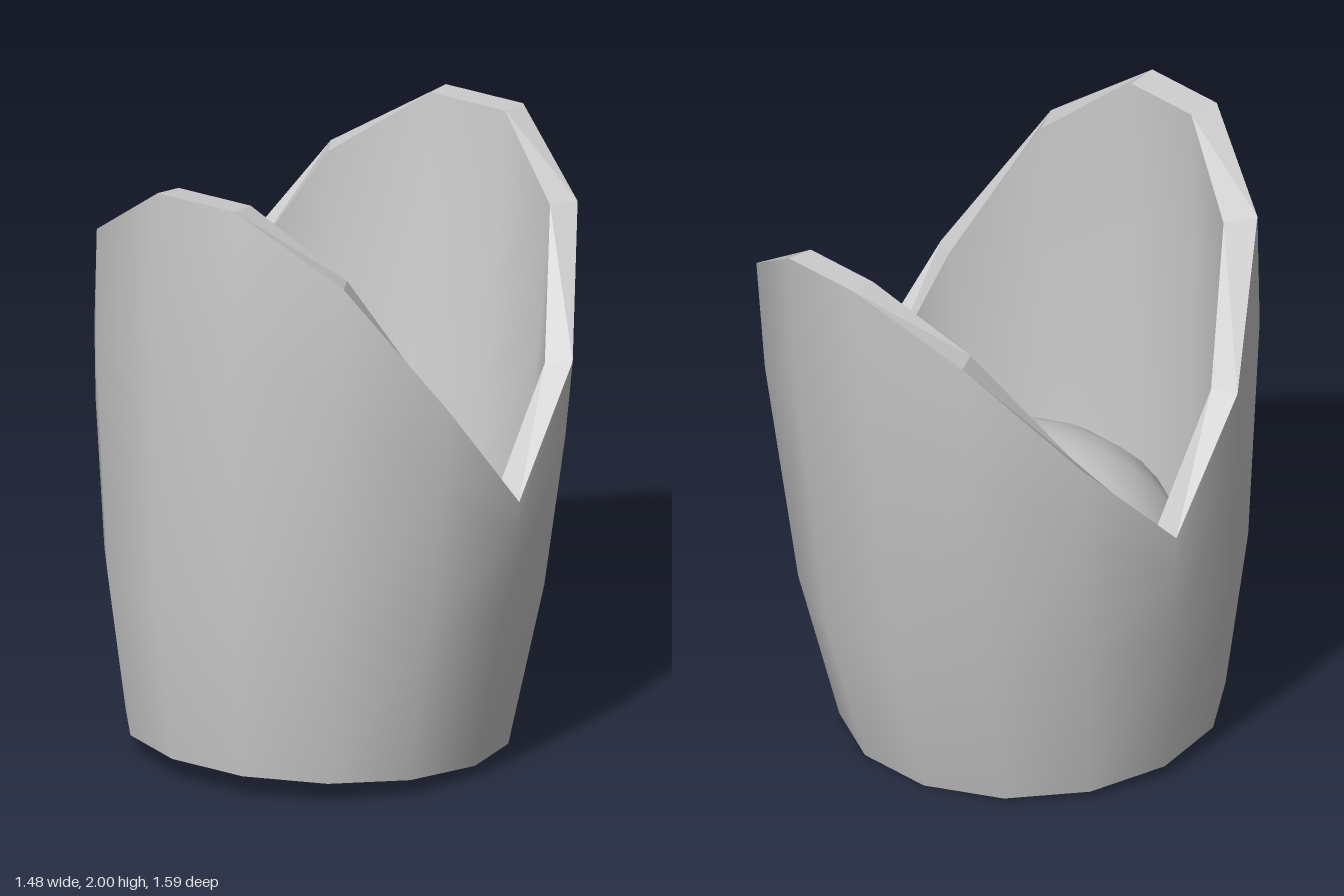
import * as THREE from 'three';
import { mergeVertices } from 'three/addons/utils/BufferGeometryUtils.js';

const SIDES = 14;

// Skin a stack of closed rings (arrays of SIDES points) into one smooth band
function loft(rings) {
  const pos = rings.flat().flatMap((p) => [p.x, p.y, p.z]);
  const index = [];
  for (let j = 0; j < rings.length - 1; j++) {
    for (let i = 0; i < SIDES; i++) {
      const k = (i + 1) % SIDES;
      const a = j * SIDES + i, b = j * SIDES + k;
      const c = b + SIDES, d = a + SIDES;
      index.push(a, b, c, a, c, d);
    }
  }
  let g = new THREE.BufferGeometry();
  g.setAttribute('position', new THREE.Float32BufferAttribute(pos, 3));
  g.setIndex(index);
  g = mergeVertices(g, 1e-5);
  g.computeVertexNormals();
  return g;
}

// Regular ring whose flat side faces the front, lying in a plane tilted toward it
function ring(rx, rz, cz, y0, tilt) {
  return Array.from({ length: SIDES }, (_, i) => {
    const a = ((i + 0.5) / SIDES) * Math.PI * 2;
    const z = cz + rz * Math.cos(a);
    return new THREE.Vector3(rx * Math.sin(a), y0 + tilt * z, z);
  });
}

// Mirror half of the rim (front to back on +x) to the other side
function mirrored(half) {
  const pts = half.map((p) => new THREE.Vector3(...p));
  return [...pts, ...pts.slice().reverse().map((p) => new THREE.Vector3(-p.x, p.y, p.z))];
}

// Ring two thirds of the way up each column, bulging more where the wall is tall
function between(low, high, bulge) {
  return low.map((p, i) => {
    const q = p.clone().lerp(high[i], 2 / 3);
    const h = (high[i].y - p.y) / 1.38;
    const out = new THREE.Vector3(q.x, 0, q.z).normalize();
    return q.addScaledVector(out, bulge * h * h);
  });
}

// Quarter-ellipse dome rings from the base up to the apex
function dome(r, rz, cz, y0, tilt, apexY, apexZ) {
  const steps = 9, rings = [];
  for (let s = 0; s <= steps; s++) {
    const t = (s / steps) * Math.PI / 2;
    const c = s === steps ? 0 : Math.cos(t), h = Math.sin(t);
    const z = THREE.MathUtils.lerp(cz, apexZ, h);
    const y = THREE.MathUtils.lerp(y0, apexY, h);
    const k = tilt * (1 - h);
    rings.push(ring(r * c, rz * c, z, y, k));
  }
  return rings;
}

export function createModel() {
  const group = new THREE.Group();
  const add = (name, rings, flatShading = false) => {
    const material = new THREE.MeshStandardMaterial({ color: 0xcccccc, flatShading });
    const mesh = new THREE.Mesh(loft(rings), material);
    mesh.name = name;
    group.add(mesh);
  };

  // V-notched rim, outer and inner edges
  const rimOuter = mirrored([
    [0.15, 2.0, 0.77], [0.48, 1.77, 0.64], [0.69, 1.32, 0.36], [0.74, 0.935, 0.05],
    [0.69, 1.29, -0.31], [0.48, 1.69, -0.63], [0.15, 1.9, -0.795],
  ]);
  const rimInner = mirrored([
    [0.14, 1.99, 0.67], [0.425, 1.76, 0.545], [0.61, 1.32, 0.32], [0.645, 0.93, 0.05],
    [0.61, 1.28, -0.27], [0.43, 1.69, -0.55], [0.145, 1.9, -0.705],
  ]);

  // Outer wall
  const foot = ring(0.615, 0.61, 0.115, 0.032, 0.067);
  const waist = ring(0.7, 0.723, 0.075, 0.565, 0.071);
  add('outerWall', [foot, waist, between(waist, rimOuter, 0.024), rimOuter]);
  add('rim', [rimOuter, rimInner], true);

  // Inner wall down to the dome
  const innerWaist = ring(0.61, 0.62, 0.065, 0.565, 0.071);
  const domeBase = ring(0.57, 0.585, 0.07, 0.38, 0.07);
  add('innerWall', [rimInner, between(innerWaist, rimInner, 0.015), innerWaist, domeBase]);

  // Domed floor, hollow from below
  add('domedFloor', dome(0.57, 0.585, 0.07, 0.38, 0.07, 1.0, 0.05));
  const hole = ring(0.475, 0.475, 0.115, 0.032, 0.067);
  const hollow = dome(0.485, 0.49, 0.08, 0.34, 0.07, 0.9, 0.05).reverse();
  add('hollowUnderside', [...hollow, hole]);
  add('bottomRing', [hole, foot], true);

  return group;
}
